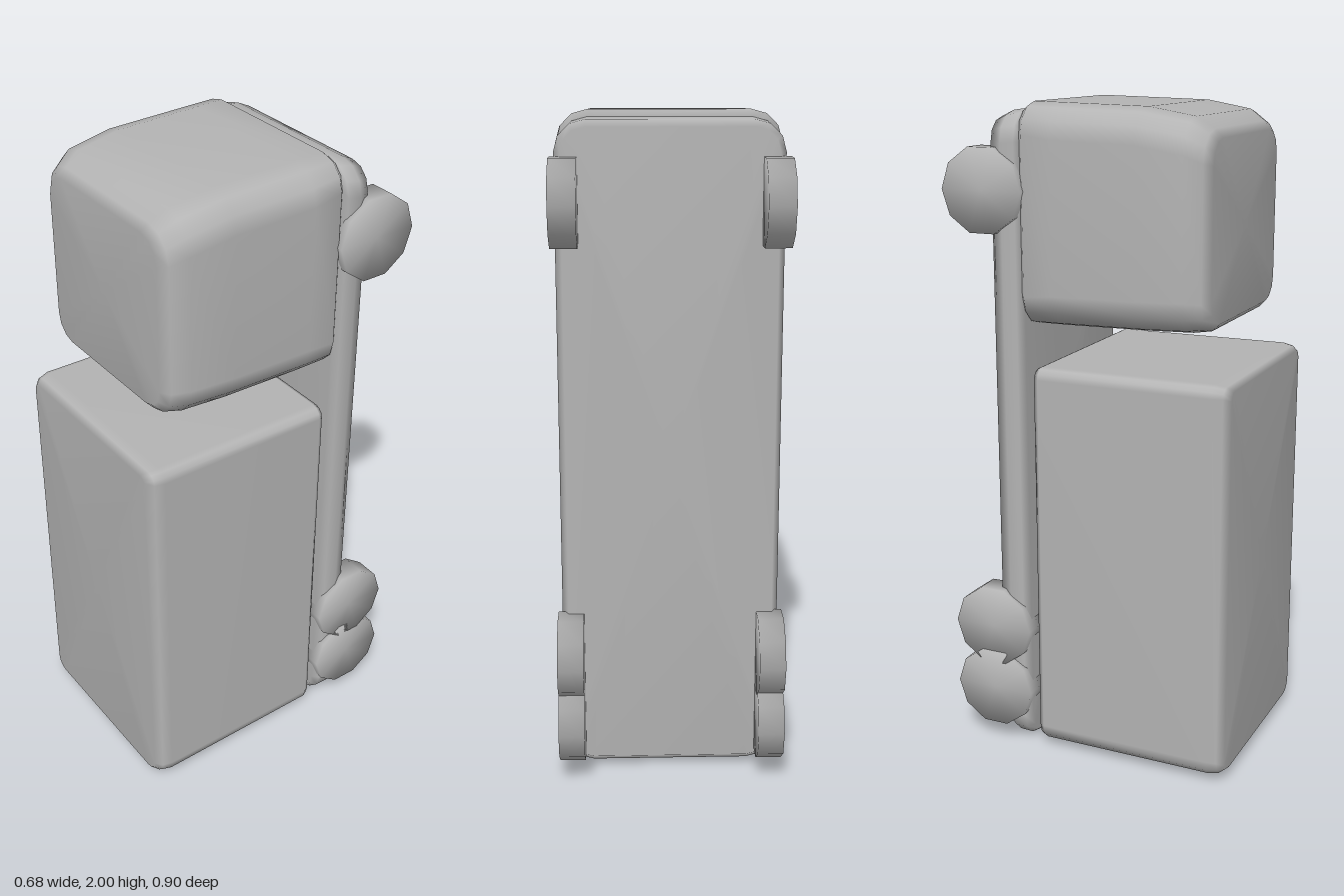
import * as THREE from 'three';
import { mergeVertices } from 'three/addons/utils/BufferGeometryUtils.js';

// Share vertices so that normals blend over every edge
function smooth(geometry) {
  geometry.deleteAttribute('normal');
  geometry.deleteAttribute('uv');
  const merged = mergeVertices(geometry, 1e-4);
  merged.computeVertexNormals();
  return merged;
}

// Rounded-rectangle cross-sections lofted along z and capped with fans
// ring: [z, half width, bottom, top, bottom corner radius, top corner radius]
function loft(rings) {
  const steps = 3, count = 4 * (steps + 1);
  const points = [], index = [];
  for (const [z, w, y0, y1, rb, rt] of rings) {
    const corners = [[1, y1 - rt, rt], [-1, y1 - rt, rt], [-1, y0 + rb, rb], [1, y0 + rb, rb]];
    corners.forEach(([side, cy, r], c) => {
      for (let i = 0; i <= steps; i++) {
        const a = (c + i / steps) * Math.PI / 2;
        points.push(side * (w - r) + r * Math.cos(a), cy + r * Math.sin(a), z);
      }
    });
  }
  const last = rings.length - 1;
  for (const k of [0, last]) points.push(0, (rings[k][2] + rings[k][3]) / 2, rings[k][0]);
  const back = rings.length * count, front = back + 1;
  for (let i = 0; i < count; i++) {
    const j = (i + 1) % count;
    for (let k = 0; k < last; k++) {
      const a = k * count + i, b = k * count + j;
      index.push(a, b, b + count, a, b + count, a + count);
    }
    index.push(back, j, i, front, last * count + i, last * count + j);
  }
  const geometry = new THREE.BufferGeometry();
  geometry.setAttribute('position', new THREE.Float32BufferAttribute(points, 3));
  geometry.setIndex(index);
  geometry.computeVertexNormals();
  return geometry;
}

export function createModel() {
  const group = new THREE.Group();
  group.name = 'truck';
  const grey = new THREE.MeshStandardMaterial({ color: 0xb4b4b4 });
  grey.name = 'grey';

  function add(name, geometry, x = 0, y = 0, z = 0) {
    const mesh = new THREE.Mesh(geometry, grey);
    mesh.name = name;
    mesh.position.set(x, y, z);
    group.add(mesh);
  }

  // Cab with sloping roof and rounded front
  add('cab', loft([
    [-0.22, 0.295, 1.38, 1.98, 0.07, 0.07],
    [-0.195, 0.322, 1.355, 2.0, 0.09, 0.09],
    [-0.1, 0.33, 1.355, 1.998, 0.1, 0.1],
    [0.16, 0.33, 1.36, 1.992, 0.1, 0.1],
    [0.3, 0.322, 1.364, 1.968, 0.1, 0.1],
    [0.35, 0.298, 1.37, 1.935, 0.09, 0.09],
    [0.37, 0.268, 1.39, 1.91, 0.07, 0.07],
  ]));

  // Cargo box
  add('cargoBox', loft([
    [-0.165, 0.325, 0.022, 1.23, 0.05, 0.03],
    [-0.15, 0.333, 0.015, 1.237, 0.06, 0.035],
    [0.4, 0.335, 0.015, 1.24, 0.06, 0.035],
    [0.43, 0.325, 0.022, 1.234, 0.05, 0.03],
    [0.45, 0.305, 0.036, 1.222, 0.04, 0.025],
  ]));

  // Flat chassis
  add('chassis', loft([
    [-0.3, 0.308, 0.036, 1.955, 0.07, 0.07],
    [-0.26, 0.328, 0.006, 1.974, 0.09, 0.09],
    [-0.22, 0.322, 0, 1.98, 0.09, 0.09],
    [-0.2, 0.305, 0.012, 1.968, 0.08, 0.08],
  ]));

  // Three axles of wheels
  const wheel = smooth(new THREE.CylinderGeometry(0.13, 0.13, 0.078, 10).rotateZ(Math.PI / 2));
  const axles = { front: 1.75, middle: 0.39, rear: 0.18 };
  for (const [axle, y] of Object.entries(axles)) {
    add(axle + 'WheelLeft', wheel, 0.3, y, -0.32);
    add(axle + 'WheelRight', wheel, -0.3, y, -0.32);
  }
  return group;
}
